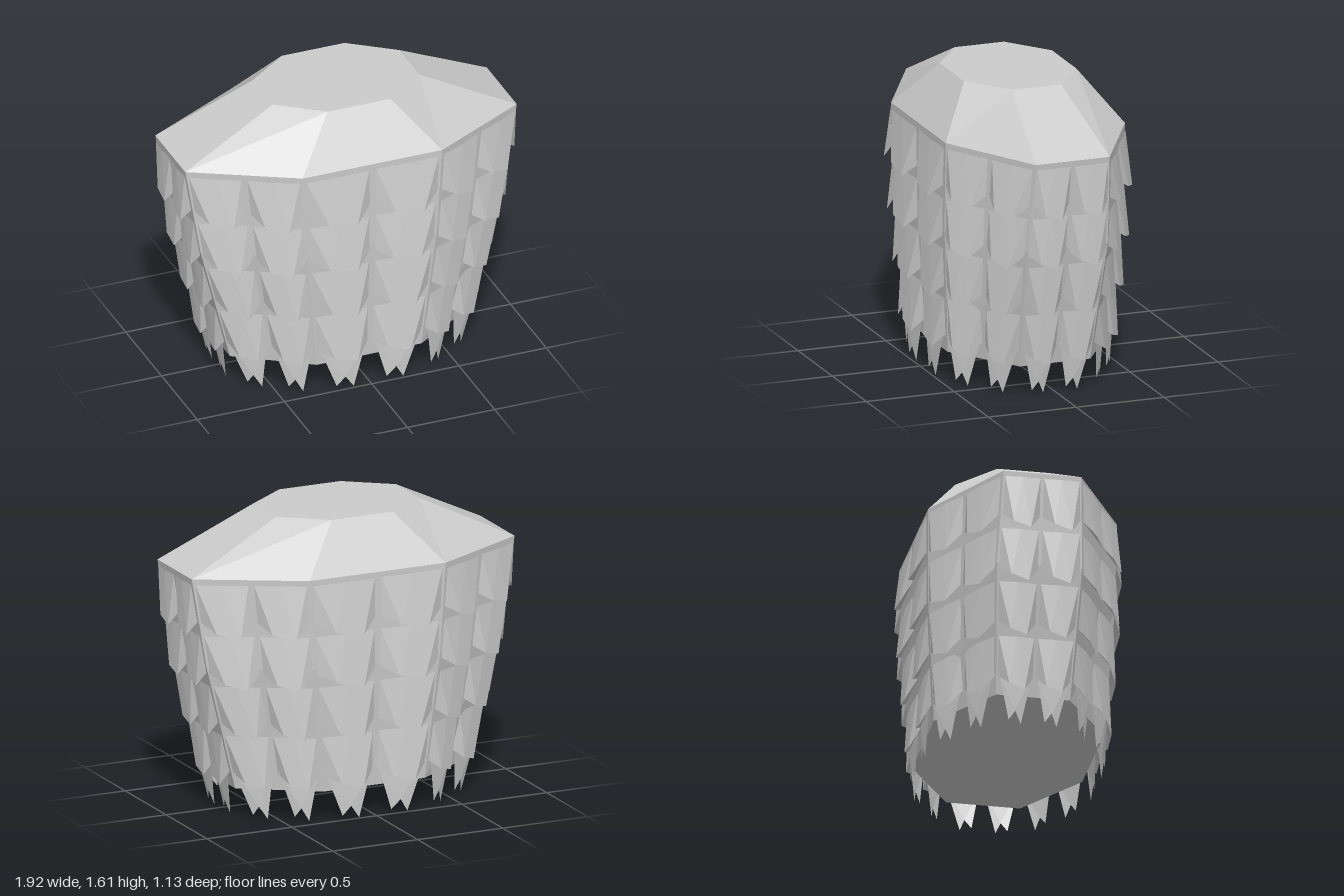
import * as THREE from 'three';

// Octagonal cross-sections: height, long half-sizes (X, Z), corner cuts (x, z)
const RINGS = [
  { y: 0.16, X: 0.69, Z: 0.46, x: 0.3, z: 0.2 },
  { y: 0.85, X: 0.87, Z: 0.505, x: 0.37, z: 0.23 },
  { y: 1.35, X: 0.95, Z: 0.51, x: 0.4, z: 0.21 },
  { y: 1.61, X: 0.42, Z: 0.32, x: 0.18, z: 0.14 },
];
const SIDES = 8;

function corners({ y, X, Z, x, z }) {
  return [[X, -z], [X, z], [x, Z], [-x, Z], [-X, z], [-X, -z], [-x, -Z], [x, -Z]]
    .map(([a, b]) => new THREE.Vector3(a, y, b));
}

function facetedMesh(name, triangles, side = THREE.FrontSide) {
  const geometry = new THREE.BufferGeometry().setFromPoints(triangles);
  geometry.computeVertexNormals();
  const material = new THREE.MeshStandardMaterial({ color: 0xcccccc, flatShading: true, side });
  const mesh = new THREE.Mesh(geometry, material);
  mesh.name = name;
  return mesh;
}

// Point on one wall: u runs along the face, out lifts it off the surface
function wallPoint(face, u, y, out = 0) {
  const k = y > RINGS[1].y ? 1 : 0;
  const lo = corners(RINGS[k]), hi = corners(RINGS[k + 1]);
  const t = (y - RINGS[k].y) / (RINGS[k + 1].y - RINGS[k].y);
  const next = (face + 1) % SIDES;
  const a = lo[face].clone().lerp(hi[face], t);
  const b = lo[next].clone().lerp(hi[next], t);
  const d = b.clone().sub(a).normalize();
  return a.lerp(b, u).add(new THREE.Vector3(d.z, 0, -d.x).multiplyScalar(out));
}

function createBody() {
  const rings = RINGS.map(corners);
  const tris = [];
  for (let i = 0; i < SIDES; i++) {
    const j = (i + 1) % SIDES;
    for (let k = 0; k < rings.length - 1; k++) {
      const lo = rings[k], hi = rings[k + 1];
      tris.push(lo[j], lo[i], hi[i], lo[j], hi[i], hi[j]);
    }
    const top = rings[rings.length - 1];
    tris.push(new THREE.Vector3(0, RINGS[3].y, 0), top[j], top[i]);
    tris.push(new THREE.Vector3(0, RINGS[0].y, 0), rings[0][i], rings[0][j]);
  }
  return facetedMesh('body', tris);
}

// Folded scale: flush with the wall at the top, flaring to two tips below
function createScale(face, column, top) {
  const p = (u, drop, out) => wallPoint(face, 0.5 * (column + u), top - drop, out);
  const tr = p(0.05, 0, 0.005), tl = p(0.95, 0, 0.005), mid = p(0.5, 0, 0.012);
  const br = p(0.04, 0.21, 0.005), bl = p(0.96, 0.21, 0.005);
  const pr = p(0.28, 0.29, 0.06), pl = p(0.7, 0.26, 0.055);
  return facetedMesh('scale', [
    tr, mid, pr, br, tr, pr,
    mid, tl, pl, tl, bl, pl,
    mid, pl, pr,
    br, pr, pl, br, pl, bl,
  ], THREE.DoubleSide);
}

// Notched fringe hanging below the lowest scales
function createFringe(face, column) {
  const p = (u, y, out) => wallPoint(face, 0.5 * (column + u), y, out);
  const br = p(0.06, 0.27, 0.012), bl = p(0.94, 0.27, 0.012);
  const tipR = p(0.34, 0, 0.035), tipL = p(0.68, 0.02, 0.035);
  const notch = p(0.5, 0.07, 0.035);
  return facetedMesh('fringe', [br, bl, notch, bl, tipL, notch, br, notch, tipR], THREE.DoubleSide);
}

export function createModel() {
  const model = new THREE.Group();
  model.name = 'scaledBlock';
  model.add(createBody());

  const scales = new THREE.Group();
  scales.name = 'scales';
  const fringe = new THREE.Group();
  fringe.name = 'bottomFringe';
  for (let face = 0; face < SIDES; face++) {
    for (let column = 0; column < 2; column++) {
      for (let row = 0; row < 4; row++) scales.add(createScale(face, column, 1.32 - row * 0.285));
      fringe.add(createFringe(face, column));
    }
  }
  model.add(scales, fringe);
  return model;
}
